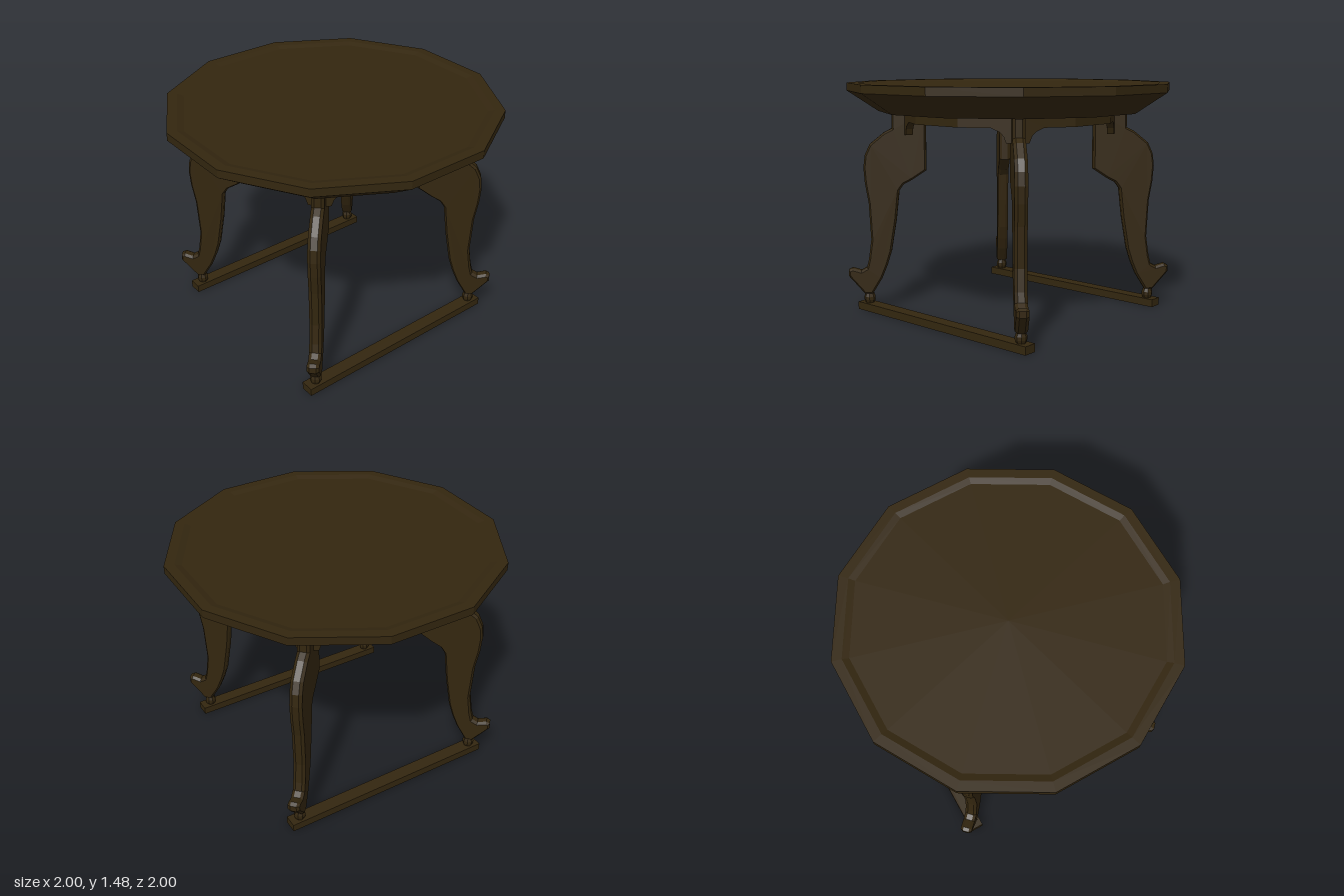
import * as THREE from 'three';

const wood = new THREE.MeshStandardMaterial({ color: 0x33260f, flatShading: true });
wood.name = 'dark wood';

const STEP = Math.PI / 6;                 // one side of the twelve-sided top
const K = 1 / Math.cos(STEP / 2);         // flat distance -> corner radius

function mesh(geometry, name, parent) {
  const m = new THREE.Mesh(geometry, wood);
  m.name = name;
  parent.add(m);
  return m;
}

function outline(points) {
  return new THREE.Shape(points.map(([x, y]) => new THREE.Vector2(x, y)));
}

// Twelve-sided top with sloping underside and shallow recessed centre
function tableTop() {
  const profile = [[0, 1.3], [0.81, 1.3], [1, 1.43], [1, 1.48], [0.94, 1.48], [0.9, 1.468], [0, 1.468]]
    .map(([r, y]) => new THREE.Vector2(r * K, y));
  return new THREE.LatheGeometry(profile, 12, STEP / 2);
}

// Curved leg cut from a board; widths are measured along x, then stretched to the diagonal
function legGeometry() {
  const outer = [[0.55, 1.305], [0.55, 1.19], [0.585, 1.165], [0.65, 1.09], [0.673, 1.02], [0.68, 0.94],
    [0.675, 0.84], [0.66, 0.71], [0.652, 0.47], [0.665, 0.34], [0.675, 0.285], [0.7, 0.265],
    [0.74, 0.282], [0.757, 0.27], [0.757, 0.23], [0.715, 0.16], [0.685, 0.11]];
  const inner = [[0.62, 0.11], [0.575, 0.215], [0.55, 0.3], [0.53, 0.39], [0.505, 0.6], [0.49, 0.79],
    [0.47, 0.83], [0.43, 0.86], [0.366, 0.92], [0.366, 1.305]];
  const points = [
    ...outer.map(([x, y]) => [(x - 0.015) * Math.SQRT2, y]),
    ...inner.map(([x, y]) => [(x + 0.015) * Math.SQRT2, y]),
  ];
  const g = new THREE.ExtrudeGeometry(outline(points), {
    depth: 0.039, bevelThickness: 0.018, bevelSize: 0.012, bevelOffset: -0.012, bevelSegments: 1,
  });
  return g.translate(0, 0, -0.0195);
}

// Apron board that drops into a bracket at its leg end
function bracketGeometry(length, thickness) {
  const shape = outline([[0, 1.305], [0, 1.15], [0.07, 1.15], [0.085, 1.19], [0.11, 1.215],
    [0.16, 1.237], [length, 1.237], [length, 1.305]]);
  return new THREE.ExtrudeGeometry(shape, { depth: thickness, bevelEnabled: false });
}

export function createModel() {
  const table = new THREE.Group();
  table.name = 'table';
  mesh(tableTop(), 'tableTop', table);

  const apothem = 0.66, R = apothem * K, thick = 0.045;
  const length = 2 * apothem * Math.tan(STEP / 2);
  const leg = legGeometry();
  const footRadius = 0.65 * Math.SQRT2;
  const knob = new THREE.LatheGeometry(
    [[0.026, 0.045], [0.036, 0.07], [0.036, 0.09], [0.026, 0.118]].map(([r, y]) => new THREE.Vector2(r, y)), 8);

  // Four identical corners, each facing out along a diagonal
  for (let i = 0; i < 4; i++) {
    const corner = new THREE.Group();
    corner.name = 'corner' + (i + 1);
    corner.rotation.y = Math.PI / 4 + i * Math.PI / 2;
    table.add(corner);

    mesh(leg, 'leg', corner);
    mesh(knob, 'footKnob', corner).position.x = footRadius;

    for (const side of [1, -1]) {
      const g = bracketGeometry(length, thick);
      if (side < 0) g.translate(0, 0, -thick);
      const board = mesh(g, 'apronBracket', corner);
      board.position.x = R;
      board.rotation.y = -Math.atan2(side * Math.sin(STEP), Math.cos(STEP) - 1);
    }

    // Straight apron board between two brackets
    const straight = mesh(new THREE.BoxGeometry(thick, 0.068, length), 'apronBoard', corner);
    const a = Math.PI / 4, r = apothem - thick / 2;
    straight.position.set(r * Math.cos(a), 1.271, -r * Math.sin(a));
    straight.rotation.y = a;
  }

  // Floor runners joining front and back feet
  for (const side of [1, -1]) {
    mesh(new THREE.BoxGeometry(0.085, 0.05, 1.435), side > 0 ? 'leftRunner' : 'rightRunner', table)
      .position.set(side * 0.65, 0.025, 0);
  }
  return table;
}
